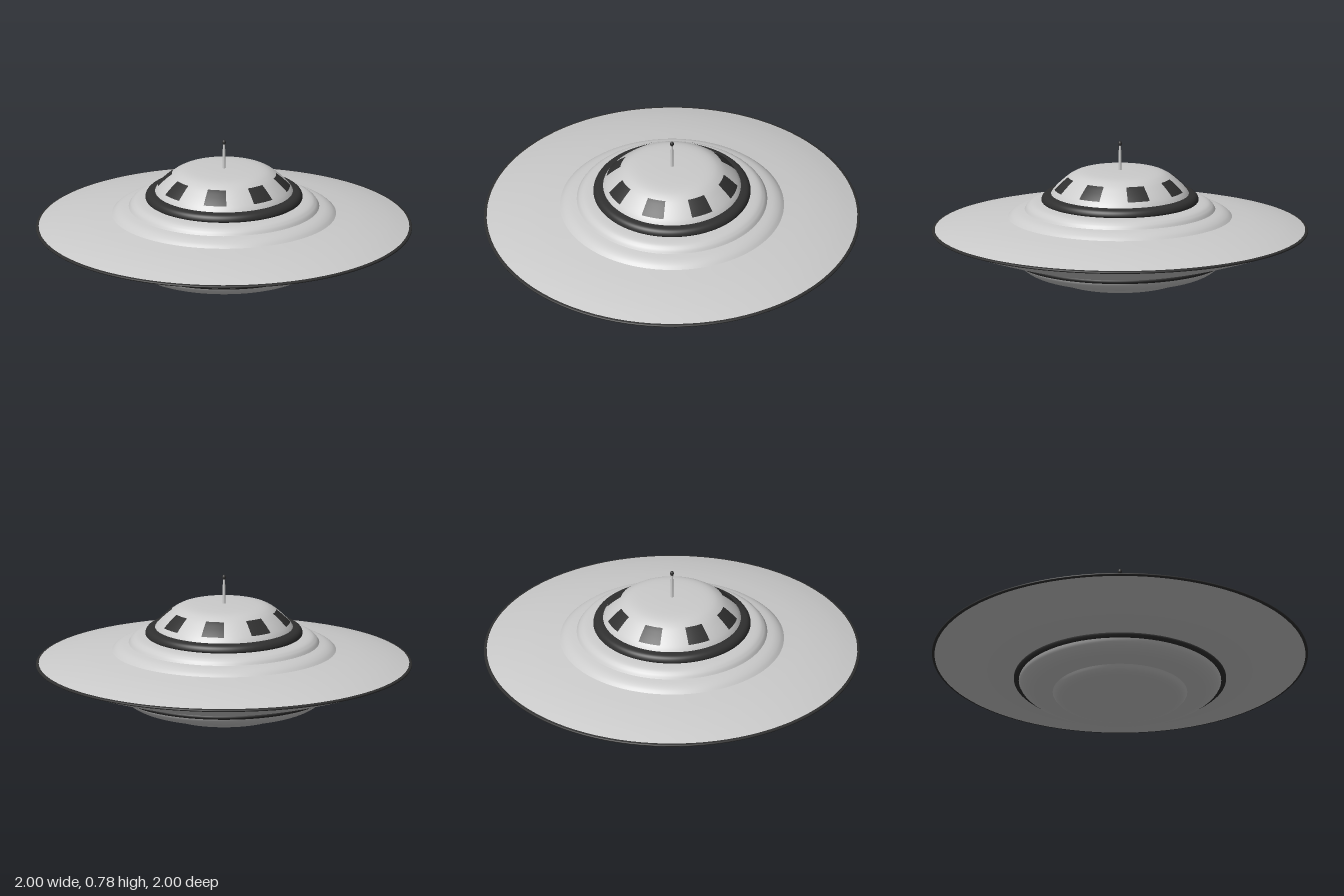
import * as THREE from 'three';

const SEGMENTS = 96;

const grey = new THREE.MeshStandardMaterial({ color: 0xcccccc });
const dark = new THREE.MeshStandardMaterial({ color: 0x303030 });

// Smooth curve through a few [radius, height] points, listed from bottom to top
function smooth(points, steps = 20) {
  const curve = new THREE.SplineCurve(points.map(([r, y]) => new THREE.Vector2(r, y)));
  const out = curve.getPoints(steps);
  out.forEach((p) => { p.x = Math.max(p.x, 0); });
  return out;
}

function lathe(name, profile, material, segments = SEGMENTS, start = 0, length = Math.PI * 2) {
  const mesh = new THREE.Mesh(new THREE.LatheGeometry(profile, segments, start, length), material);
  mesh.name = name;
  return mesh;
}

export function createModel() {
  const model = new THREE.Group();
  model.name = 'flyingSaucer';

  // Stepped belly
  model.add(lathe('bellyBase', smooth([[0, 0.005], [0.14, 0.006], [0.26, 0.014], [0.33, 0.032], [0.36, 0.063]]), grey));
  model.add(lathe('bellyTier', smooth([[0.355, 0.06], [0.44, 0.066], [0.49, 0.083], [0.525, 0.108], [0.54, 0.133]]), grey));

  // Dark band where the belly meets the disc
  const band = [[0.535, 0.13], [0.553, 0.128], [0.564, 0.138], [0.564, 0.148], [0.55, 0.153]];
  model.add(lathe('bellyBand', band.map(([r, y]) => new THREE.Vector2(r, y)), dark));

  // Wide disc with a thin dark rim
  model.add(lathe('discUnderside', smooth([[0.54, 0.143], [0.7, 0.187], [0.85, 0.235], [0.994, 0.285]]), grey));
  model.add(lathe('discRim', smooth([[0.985, 0.282], [0.997, 0.285], [1, 0.29], [0.997, 0.295], [0.985, 0.298]], 12), dark));
  model.add(lathe('discTop', smooth([[0.994, 0.295], [0.88, 0.325], [0.74, 0.352], [0.59, 0.372]]), grey));

  // Two shoulder steps under the cockpit
  model.add(lathe('lowerShoulder', smooth([[0.597, 0.37], [0.575, 0.389], [0.545, 0.403], [0.5, 0.413]]), grey));
  model.add(lathe('upperShoulder', smooth([[0.507, 0.411], [0.49, 0.434], [0.455, 0.451], [0.36, 0.46]]), grey));

  // Dark collar around the dome
  const collar = smooth([[0.41, 0.452], [0.418, 0.463], [0.412, 0.482], [0.395, 0.494], [0.36, 0.498]], 16);
  model.add(lathe('domeCollar', collar, dark));

  // Dome with a flattened crown
  const domePoints = smooth([
    [0.374, 0.485], [0.352, 0.518], [0.31, 0.56], [0.262, 0.597],
    [0.21, 0.616], [0.12, 0.623], [0, 0.625],
  ], 48);
  model.add(lathe('dome', domePoints, grey));

  // Eight windows following the dome surface
  const windows = new THREE.Group();
  windows.name = 'windows';
  const pane = domePoints
    .filter((p) => p.x > 0.27 && p.x < 0.352)
    .map((p) => new THREE.Vector2(p.x + 0.003, p.y + 0.003));
  const half = THREE.MathUtils.degToRad(10);
  for (let i = 0; i < 8; i++) {
    const centre = (i + 0.5) * Math.PI / 4;
    windows.add(lathe('window', pane, dark, 8, centre - half, half * 2));
  }
  model.add(windows);

  // Antenna with a small dark tip
  const mast = new THREE.Mesh(new THREE.CylinderGeometry(0.006, 0.009, 0.145, 16), grey);
  mast.name = 'antennaMast';
  mast.position.y = 0.692;
  const tip = new THREE.Mesh(new THREE.SphereGeometry(0.01, 16, 12), dark);
  tip.name = 'antennaTip';
  tip.scale.y = 1.4;
  tip.position.y = 0.768;
  model.add(mast, tip);

  // Rest the belly on the ground
  model.position.y = -0.005;
  return model;
}
